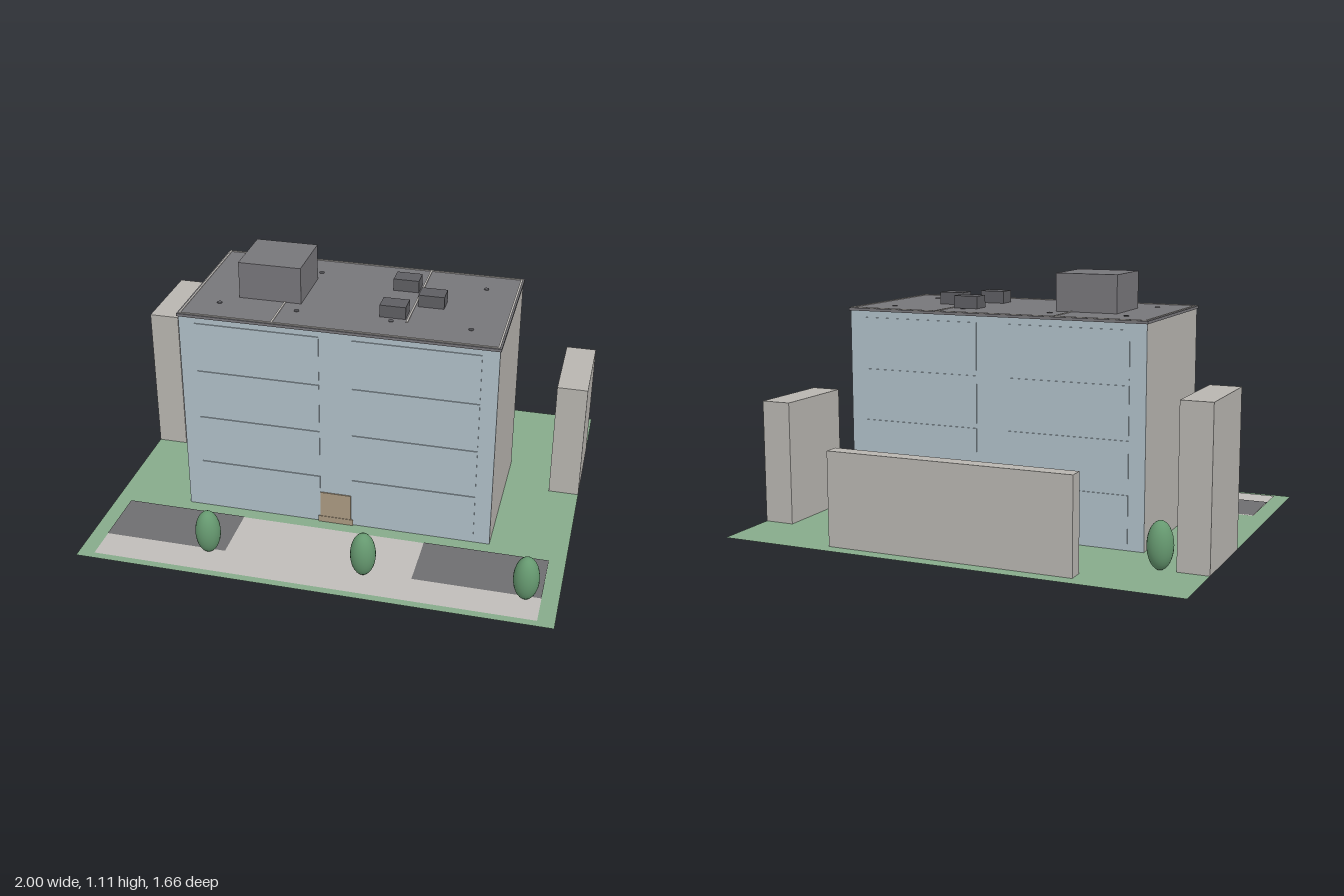
import * as THREE from 'three';

const mat = (color, extra = {}) => new THREE.MeshStandardMaterial({ color, ...extra });
const stone = mat(0xb8b5b0);
const glass = mat(0xafbfc8);
const roofGrey = mat(0x77767a);
const metal = mat(0x5e5e62);
const asphalt = mat(0x6e6e70, { side: THREE.DoubleSide });
const paving = mat(0xc0bdb9, { side: THREE.DoubleSide });
const lawn = mat(0x86aa8b, { side: THREE.DoubleSide });
const leaf = mat(0x669970);
const wood = mat(0xab9a82);

export function createModel() {
  const model = new THREE.Group();
  model.name = 'officeBlockOnPlot';

  const add = (name, geometry, material, x, y, z) => {
    const mesh = new THREE.Mesh(geometry, material);
    mesh.name = name;
    mesh.position.set(x, y, z);
    model.add(mesh);
    return mesh;
  };
  // Box given by its extents along each axis
  const box = (name, material, [x0, x1], [y0, y1], [z0, z1]) =>
    add(name, new THREE.BoxGeometry(x1 - x0, y1 - y0, z1 - z0), material,
      (x0 + x1) / 2, (y0 + y1) / 2, (z0 + z1) / 2);
  // Flat rectangle lying on the ground
  const sheet = (name, material, [x0, x1], y, [z0, z1]) =>
    add(name, new THREE.PlaneGeometry(x1 - x0, z1 - z0).rotateX(-Math.PI / 2), material,
      (x0 + x1) / 2, y, (z0 + z1) / 2);

  // Plot, forecourt and parking bays
  sheet('lawn', lawn, [-1, 1], 0.017, [-0.83, 0.83]);
  sheet('forecourt', paving, [-0.93, 0.93], 0.02, [0.4, 0.8]);
  sheet('leftParking', asphalt, [0.4, 0.93], 0.023, [0.4, 0.66]);
  sheet('rightParking', asphalt, [-0.93, -0.4], 0.023, [0.4, 0.66]);

  // Main block
  box('mainBlock', stone, [-0.67, 0.67], [0, 0.94], [-0.333, 0.333]);

  // Glazed front and back, each with two columns of slightly raised window bands
  for (const side of [1, -1]) {
    const face = side > 0 ? 'front' : 'back';
    add(face + 'Glazing', new THREE.BoxGeometry(1.34, 0.93, 0.004), glass, 0, 0.473, side * 0.335);
    for (const x of [-0.335, 0.335]) {
      for (let floor = 0; floor < 4; floor++) {
        add(face + 'Window', new THREE.BoxGeometry(0.53, 0.2, 0.005), glass,
          x, 0.145 + floor * 0.222, side * 0.3385);
      }
    }
  }

  // Entrance
  box('door', wood, [-0.07, 0.065], [0.017, 0.165], [0.33, 0.342]);
  box('doorStep', wood, [-0.08, 0.075], [0.017, 0.045], [0.33, 0.344]);

  // Roof slab with pale seams
  box('roofSlab', roofGrey, [-0.675, 0.675], [0.938, 0.95], [-0.345, 0.345]);
  const seam = (xs, zs) => box('roofSeam', paving, xs, [0.949, 0.953], zs);
  for (const s of [1, -1]) {
    seam([-0.668, 0.668], [s * 0.334 - 0.004, s * 0.334 + 0.004]);
    seam([s * 0.664 - 0.004, s * 0.664 + 0.004], [-0.33, 0.33]);
  }
  seam([-0.274, -0.266], [-0.33, 0.33]);
  seam([0.261, 0.269], [-0.33, 0.2]);

  // Roof drains
  for (const x of [-0.535, -0.2, 0.2, 0.53]) {
    for (const z of [-0.2, 0.2]) {
      add('roofDrain', new THREE.CylinderGeometry(0.011, 0.011, 0.004, 12), metal, x, 0.951, z);
    }
  }

  // Plant room and cooling units
  box('plantRoom', roofGrey, [-0.47, -0.2], [0.95, 1.11], [-0.132, 0.132]);
  for (const [x, z] of [[0.2, -0.135], [0.335, 0], [0.2, 0.133]]) {
    box('coolingUnit', metal, [x - 0.055, x + 0.055], [0.95, 1.003], [z - 0.04, z + 0.04]);
  }

  // Neighbouring blocks and rear wall
  box('rightNeighbour', stone, [-1, -0.868], [0.017, 0.683], [-0.535, -0.135]);
  box('leftNeighbour', stone, [0.868, 1], [0.017, 0.55], [-0.535, -0.135]);
  box('rearBlock', stone, [-0.535, 0.533], [0.017, 0.415], [-0.77, -0.702]);

  // Oval trees
  const crown = new THREE.SphereGeometry(1, 24, 16).scale(0.053, 0.098, 0.053);
  for (const [x, z] of [[-0.468, 0.665], [0.198, 0.665], [0.865, 0.665],
    [-0.802, -0.535], [-0.135, -0.535], [0.532, -0.535]]) {
    add('tree', crown, leaf, x, 0.116, z);
  }
  return model;
}
